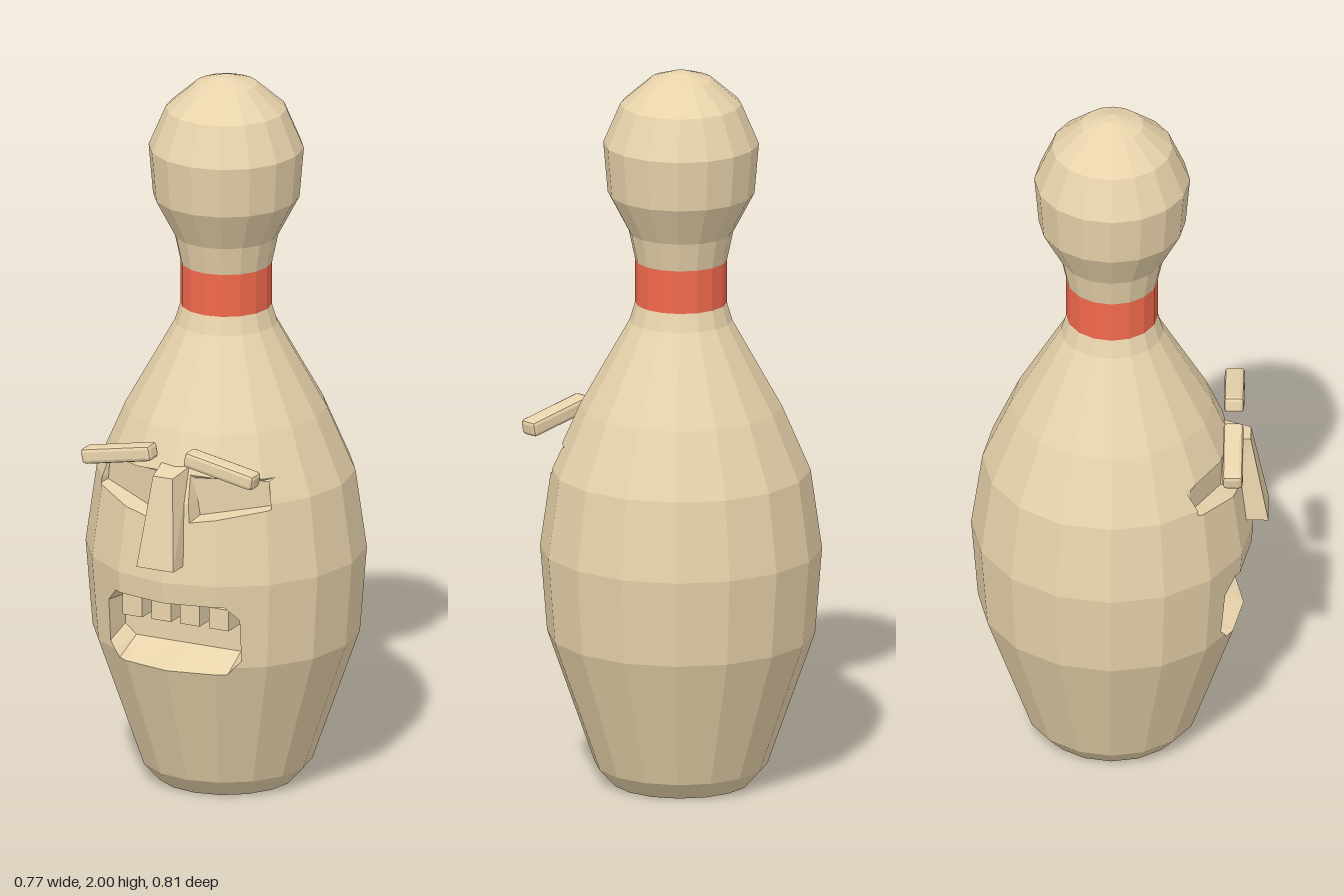
import * as THREE from 'three';
import { RoundedBoxGeometry } from 'three/addons/geometries/RoundedBoxGeometry.js';

const CENTER_Z = -0.023;
const wood = new THREE.MeshStandardMaterial({ color: 0xe8d3ab, flatShading: true });
const red = new THREE.MeshStandardMaterial({ color: 0xf2694c, flatShading: true });

function lathe(profile) {
  const points = profile.map(([r, y]) => new THREE.Vector2(r, y));
  return new THREE.LatheGeometry(points, 16).translate(0, 0, CENTER_Z);
}

function addMesh(group, name, geometry, material = wood) {
  const mesh = new THREE.Mesh(geometry, material);
  mesh.name = name;
  group.add(mesh);
  return mesh;
}

// Signed distance of v from the line p-q in the xy plane, positive on the left
function side([px, py], [qx, qy], v) {
  return ((qx - px) * (v.y - py) - (qy - py) * (v.x - px)) / Math.hypot(qx - px, qy - py);
}

// Split a polygon by a line into its left and right halves
function split(poly, p, q) {
  const inside = [], outside = [];
  poly.forEach((a, i) => {
    const b = poly[(i + 1) % poly.length];
    const da = side(p, q, a), db = side(p, q, b);
    if (da >= 0) inside.push(a);
    if (da <= 0) outside.push(a);
    if (da * db < 0) {
      const cut = a.clone().lerp(b, da / (da - db));
      inside.push(cut);
      outside.push(cut);
    }
  });
  return [inside, outside];
}

// Sink convex outlines into the front: each enclosed piece is moved back and walled in
function carve(geometry, recesses) {
  const pos = geometry.toNonIndexed().attributes.position;
  let polys = [];
  for (let i = 0; i < pos.count; i += 3) {
    polys.push([0, 1, 2].map((k) => new THREE.Vector3().fromBufferAttribute(pos, i + k)));
  }
  const sunken = [];
  for (const { outline, back } of recesses) {
    const edges = outline.map((p, i) => [p, outline[(i + 1) % outline.length]]);
    const kept = [];
    for (const poly of polys) {
      if (!poly.every((v) => v.z > 0)) {
        kept.push(poly);
        continue;
      }
      let inner = poly;
      for (const [p, q] of edges) {
        const [inside, outside] = split(inner, p, q);
        if (outside.length > 2) kept.push(outside);
        inner = inside;
        if (inner.length < 3) break;
      }
      if (inner.length < 3) continue;
      sunken.push(inner.map(back));
      inner.forEach((a, i) => {
        const b = inner[(i + 1) % inner.length];
        const onRim = edges.some(([p, q]) =>
          Math.abs(side(p, q, a)) < 1e-6 && Math.abs(side(p, q, b)) < 1e-6);
        if (onRim) sunken.push([a, b, back(b), back(a)]);
      });
    }
    polys = kept;
  }
  const out = [];
  for (const poly of [...polys, ...sunken]) {
    for (let i = 1; i < poly.length - 1; i++) out.push(poly[0], poly[i], poly[i + 1]);
  }
  const result = new THREE.BufferGeometry().setFromPoints(out);
  result.computeVertexNormals();
  return result;
}

// Mouth: chamfered rectangle with a sloping lip and a flat back
const mouth = {
  outline: [[-0.165, 0.4], [0.165, 0.4], [0.2, 0.44], [0.2, 0.56],
    [0.165, 0.6], [-0.165, 0.6], [-0.2, 0.56], [-0.2, 0.44]],
  back: (v) => new THREE.Vector3(v.x * 0.97, 0.44 + (v.y - 0.4) * 0.7, 0.2),
};

// Eye socket: tilted quad whose back follows the slant of the belly
function eyeSocket(s) {
  const outline = [[0.065, 0.83], [0.26, 0.865], [0.25, 0.945], [0.05, 0.955]]
    .map(([x, y]) => [s * x, y]);
  if (s < 0) outline.reverse();
  return {
    outline,
    back: (v) => new THREE.Vector3(
      s * (0.155 + (s * v.x - 0.155) * 0.92),
      0.895 + (v.y - 0.895) * 0.85,
      0.275 - 0.43 * (s * v.x - 0.06)),
  };
}

export function createModel() {
  const model = new THREE.Group();
  model.name = 'bowlingPin';

  // Turned body in three stacked pieces
  const belly = lathe([[0, 0], [0.19, 0], [0.235, 0.05], [0.365, 0.42], [0.384, 0.66],
    [0.353, 0.88], [0.275, 1.06], [0.14, 1.3], [0.125, 1.35]]);
  addMesh(model, 'belly', carve(belly, [mouth, eyeSocket(1), eyeSocket(-1)]));
  addMesh(model, 'neckBand', lathe([[0.125, 1.35], [0.125, 1.47]]), red);
  addMesh(model, 'head', lathe([[0.125, 1.47], [0.142, 1.55], [0.2, 1.66], [0.212, 1.8],
    [0.165, 1.91], [0.085, 1.98], [0.022, 2], [0, 2]]));

  // Upper teeth
  for (let i = 0; i < 4; i++) {
    const tooth = addMesh(model, 'tooth', new THREE.BoxGeometry(0.06, 0.06, 0.085));
    tooth.position.set((i - 1.5) * 0.088, 0.551, 0.237);
  }

  // Nose: wedge that widens and comes forward towards the bottom
  const nose = new THREE.BoxGeometry(1, 1, 1);
  const p = nose.attributes.position;
  for (let i = 0; i < p.count; i++) {
    const top = p.getY(i) > 0, front = p.getZ(i) > 0;
    const half = top ? (front ? 0.03 : 0.042) : 0.056;
    const y = top ? (front ? 0.96 : 0.975) : 0.71;
    const z = top ? (front ? 0.355 : 0.28) : (front ? 0.403 : 0.3);
    p.setXYZ(i, Math.sign(p.getX(i)) * half, y, z);
  }
  nose.computeVertexNormals();
  addMesh(model, 'nose', nose);

  // Bevelled brows, lower at the outer ends
  for (const s of [1, -1]) {
    const brow = addMesh(model, s > 0 ? 'leftBrow' : 'rightBrow',
      new RoundedBoxGeometry(0.215, 0.045, 0.055, 1, 0.011));
    brow.position.set(s * 0.157, 0.993, 0.308);
    brow.rotation.z = -s * 0.19;
  }
  return model;
}
